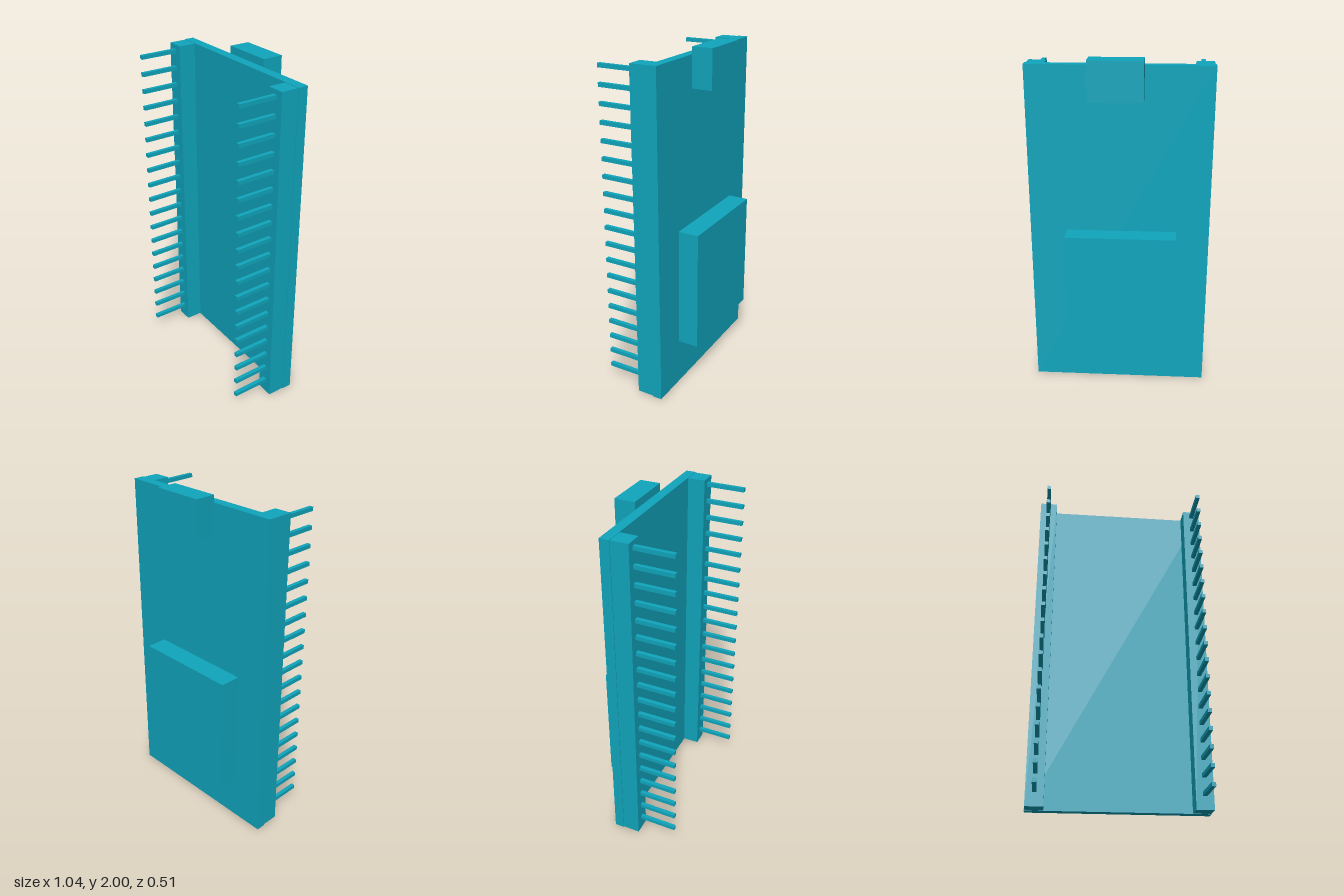
import * as THREE from 'three';

const material = new THREE.MeshStandardMaterial({ color: 0x10a5bc });

// Box given by its [min, max] extent on each axis
function block(name, [x0, x1], [y0, y1], [z0, z1]) {
  const mesh = new THREE.Mesh(new THREE.BoxGeometry(x1 - x0, y1 - y0, z1 - z0), material);
  mesh.position.set((x0 + x1) / 2, (y0 + y1) / 2, (z0 + z1) / 2);
  mesh.name = name;
  return mesh;
}

export function createModel() {
  const model = new THREE.Group();
  model.name = 'microcontrollerBoard';

  const boardBack = -0.131, boardFront = -0.074, headerFront = 0.028;
  const back = -0.253, pinTip = 0.253;

  // Circuit board with the parts mounted on its back
  model.add(block('circuitBoard', [-0.521, 0.521], [0, 1.958], [boardBack, boardFront]));
  model.add(block('radioModule', [-0.33, 0.308], [0.28, 0.997], [back, boardBack]));
  model.add(block('usbConnector', [-0.137, 0.165], [1.778, 2], [back, boardBack - 0.002]));

  // A pin header along each long edge
  const pinCount = 19, firstPin = 0.09, pitch = 0.1016, half = 0.0115;
  for (const side of [-1, 1]) {
    const header = new THREE.Group();
    header.name = side > 0 ? 'leftPinHeader' : 'rightPinHeader';
    const x = side * 0.466;
    header.add(block('headerStrip', [x - 0.051, x + 0.051], [0.002, 1.956], [boardFront, headerFront]));
    for (let i = 0; i < pinCount; i++) {
      const y = firstPin + i * pitch;
      header.add(block('pin', [x - half, x + half], [y - half, y + half], [headerFront, pinTip]));
    }
    model.add(header);
  }
  return model;
}
